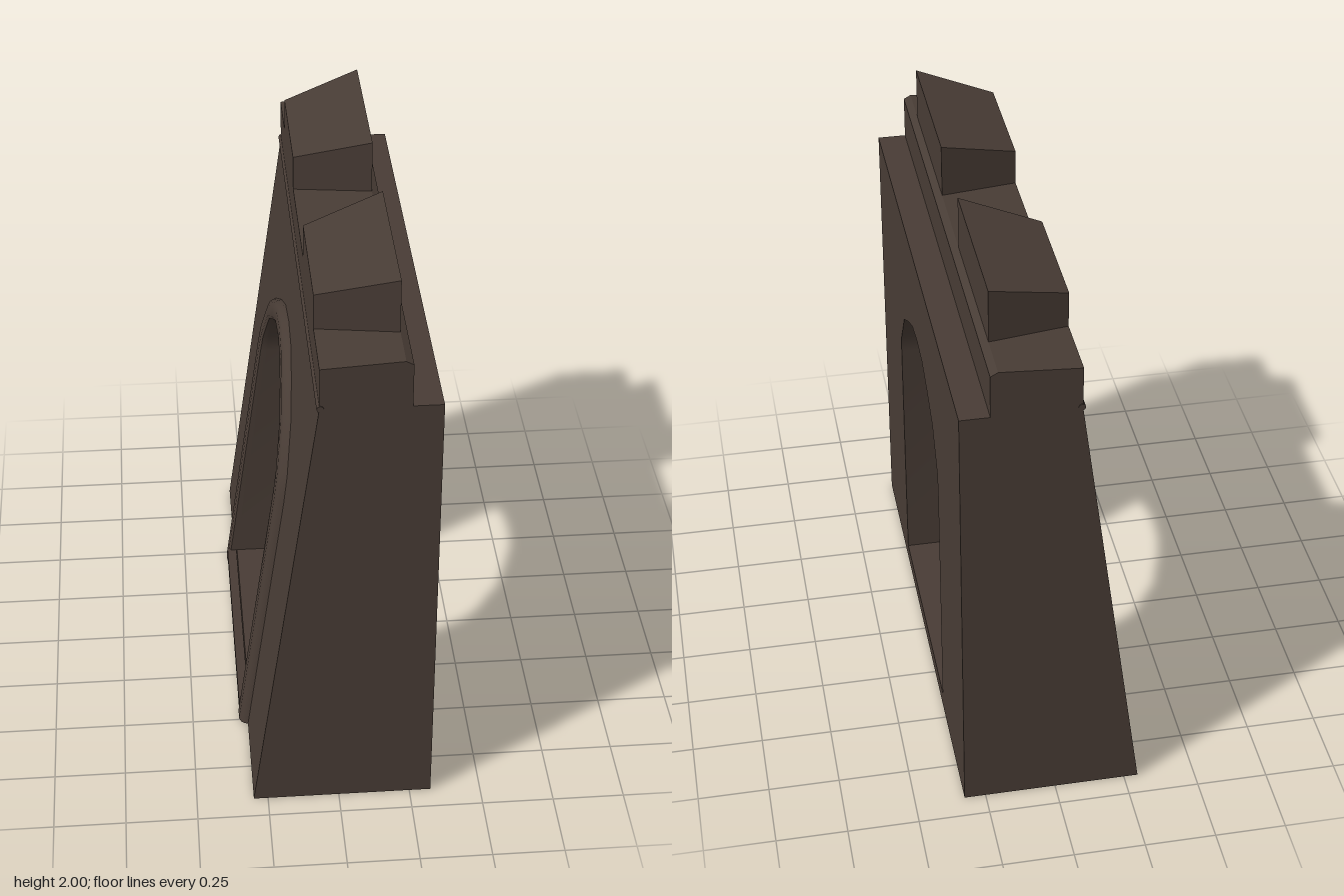
import * as THREE from 'three';
import { toCreasedNormals } from 'three/addons/utils/BufferGeometryUtils.js';

const HALF = 0.915;      // half length along z
const FRONT = 0.325;     // upright face
const FLOOR = 0.06;      // floor level of the passage
const slopeX = (y) => -0.3 + (y * 0.23) / 1.645; // battered face

// Half of the arch outline as (z, y), from springing to crown
const HALF_ARCH = [[0.435, 1.0], [0.424, 1.07], [0.33, 1.21], [0.213, 1.277], [0.111, 1.323], [0, 1.335]];

function archPath(bottom) {
  const right = [[0.435, bottom], ...HALF_ARCH];
  const left = right.slice(0, -1).reverse().map(([z, y]) => [-z, y]);
  return [...right, ...left].map(([z, y]) => new THREE.Vector2(z, y));
}

// Battered wall with an arched passage, hollow and open underneath
function wallGeometry() {
  const shape = new THREE.Shape([
    new THREE.Vector2(-HALF, 0), new THREE.Vector2(HALF, 0),
    new THREE.Vector2(HALF, 1.645), new THREE.Vector2(-HALF, 1.645),
  ]);
  shape.holes.push(new THREE.Path(archPath(FLOOR)));
  const solid = new THREE.ExtrudeGeometry(shape, { depth: 1, bevelEnabled: false });
  solid.rotateY(Math.PI / 2);
  const p = solid.attributes.position;
  const kept = [];
  for (let i = 0; i < p.count; i += 3) {
    const underside = [0, 1, 2].every((k) => p.getY(i + k) < 0.001);
    if (underside) continue;
    for (let k = i; k < i + 3; k++) {
      const y = p.getY(k);
      kept.push(THREE.MathUtils.lerp(slopeX(y), FRONT, p.getX(k)), y, p.getZ(k));
    }
  }
  const geometry = new THREE.BufferGeometry();
  geometry.setAttribute('position', new THREE.Float32BufferAttribute(kept, 3));
  return toCreasedNormals(geometry, 0.6);
}

// Rounded moulding swept around the arch on the battered face
function trimGeometry() {
  const path = archPath(0);
  const profile = [[0, 0], [0, 0.024], [0.15, 0.031], [0.65, 0.031], [0.85, 0.024], [0.96, 0.012], [1, 0]];
  const n = profile.length;
  const positions = [];
  const indices = [];
  path.forEach((point, i) => {
    const before = path[Math.max(i - 1, 0)];
    const after = path[Math.min(i + 1, path.length - 1)];
    const t = after.clone().sub(before).normalize();
    for (const [u, h] of profile) {
      const z = point.x + t.y * u * 0.09;
      const y = point.y - t.x * u * 0.065;
      positions.push(slopeX(y) - h, y, z);
    }
    if (i === 0) return;
    for (let j = 0; j < n - 1; j++) {
      const a = (i - 1) * n + j;
      const b = i * n + j;
      indices.push(a, a + 1, b, b, a + 1, b + 1);
    }
  });
  const geometry = new THREE.BufferGeometry();
  geometry.setAttribute('position', new THREE.Float32BufferAttribute(positions, 3));
  geometry.setIndex(indices);
  return toCreasedNormals(geometry, 0.8);
}

// Parapet course with a chamfered upper edge
function parapetGeometry() {
  const profile = [[-0.07, 1.645], [0.225, 1.645], [0.225, 1.798], [0.2, 1.812], [-0.07, 1.795]];
  const shape = new THREE.Shape(profile.map(([x, y]) => new THREE.Vector2(x, y)));
  const geometry = new THREE.ExtrudeGeometry(shape, { depth: HALF * 2, bevelEnabled: false });
  return geometry.translate(0, 0, -HALF);
}

// Merlon: wider and taller toward the upright face
function merlonGeometry() {
  const geometry = new THREE.BoxGeometry(1, 1, 1);
  const p = geometry.attributes.position;
  for (let i = 0; i < p.count; i++) {
    const wide = p.getX(i) > 0;
    const top = p.getY(i) > 0;
    p.setXYZ(i,
      wide ? 0.2 : -0.07,
      top ? (wide ? 2.0 : 1.92) : 1.79,
      Math.sign(p.getZ(i)) * (wide ? 0.287 : 0.22));
  }
  const flat = geometry.toNonIndexed();
  flat.computeVertexNormals();
  return flat;
}

export function createModel() {
  const group = new THREE.Group();
  const stone = new THREE.MeshStandardMaterial({ color: 0x483c35, side: THREE.DoubleSide });
  stone.name = 'dark brown stone';

  const add = (name, geometry) => {
    const mesh = new THREE.Mesh(geometry, stone);
    mesh.name = name;
    group.add(mesh);
    return mesh;
  };

  add('wall', wallGeometry());
  add('archTrim', trimGeometry());
  add('parapet', parapetGeometry());

  // Door sill running out to the face of the trim
  add('sill', new THREE.BoxGeometry(0.035, 0.05, 0.9)).position.set(-0.3115, 0.035, 0);

  // Thin bead under the parapet
  const bead = add('bead', new THREE.CylinderGeometry(0.012, 0.012, HALF * 2 + 0.006, 8));
  bead.rotation.x = Math.PI / 2;
  bead.position.set(-0.067, 1.648, 0);

  for (const side of [-1, 1]) {
    add(side > 0 ? 'leftMerlon' : 'rightMerlon', merlonGeometry()).position.z = side * 0.458;
  }
  return group;
}
